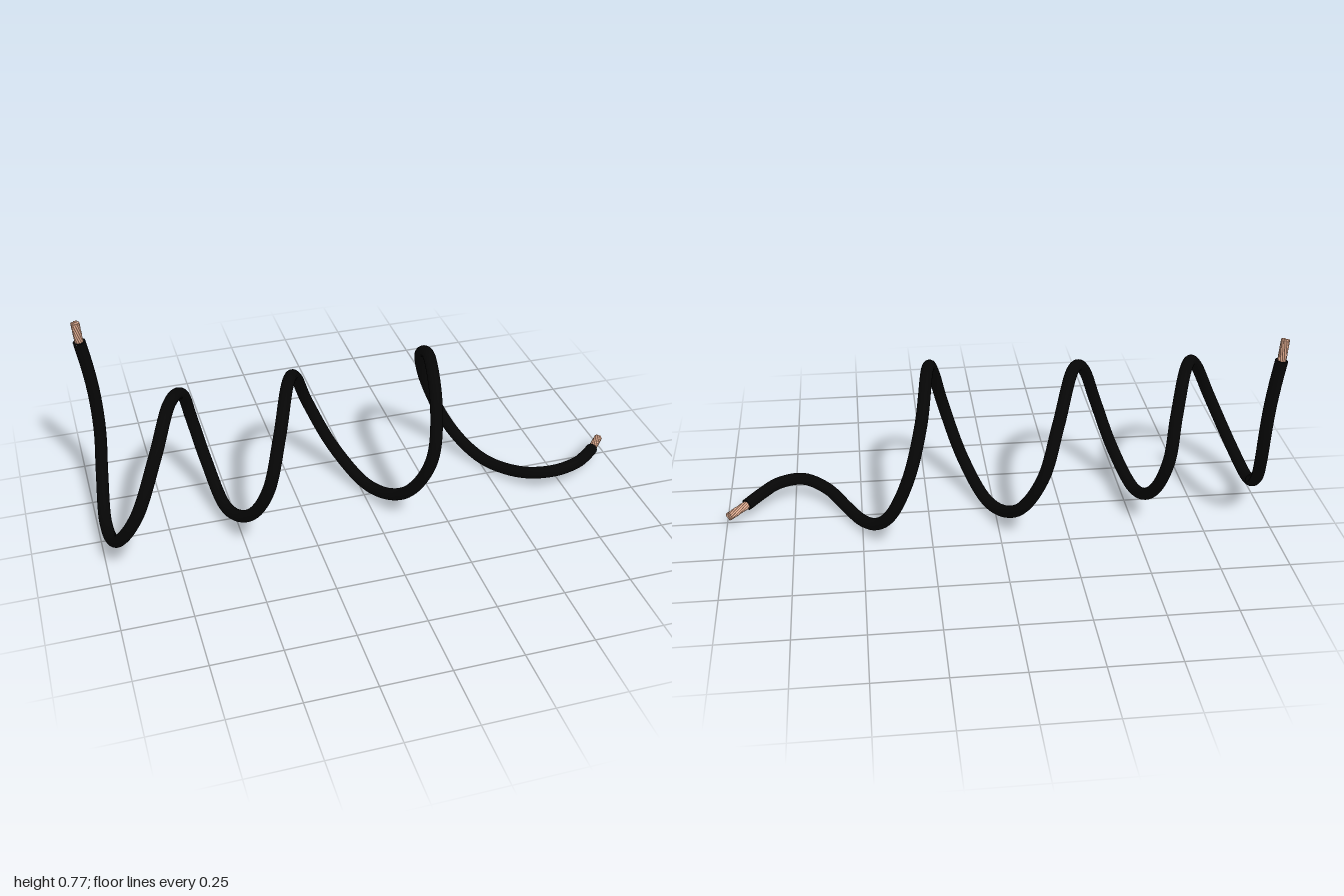
import * as THREE from 'three';

const sheathMat = new THREE.MeshStandardMaterial({ color: 0x060606 });
sheathMat.name = 'black rubber';
const copperMat = new THREE.MeshStandardMaterial({ color: 0xecb598 });
copperMat.name = 'bare copper';

const SHEATH_R = 0.0225;
const UP = new THREE.Vector3(0, 1, 0);

// Centre line of the coiled cable, about eight points per turn
const PATH = [
  // raised end
  [-0.972, 0.692, -0.263], [-0.957, 0.6, -0.266], [-0.945, 0.5, -0.268], [-0.939, 0.4, -0.267],
  // first turn
  [-0.94, 0.295, -0.25], [-0.956, 0.178, -0.175], [-0.975, 0.08, -0.01], [-0.958, 0.118, 0.165],
  [-0.885, 0.285, 0.266], [-0.797, 0.468, 0.2], [-0.712, 0.549, 0.015], [-0.633, 0.452, -0.19],
  // second turn
  [-0.6, 0.31, -0.255], [-0.566, 0.15, -0.185], [-0.534, 0.057, -0.005], [-0.48, 0.142, 0.182],
  [-0.425, 0.3, 0.266], [-0.365, 0.467, 0.2], [-0.288, 0.555, 0.015], [-0.205, 0.445, -0.2],
  // third turn
  [-0.145, 0.28, -0.274], [-0.065, 0.108, -0.2], [0.022, 0.033, -0.01], [0.103, 0.122, 0.187],
  [0.17, 0.315, 0.277], [0.207, 0.48, 0.203], [0.239, 0.583, 0.03], [0.28, 0.465, -0.19],
  // low end
  [0.33, 0.305, -0.264], [0.395, 0.145, -0.24], [0.447, 0.066, -0.172], [0.502, 0.027, -0.075],
  [0.556, 0.03, 0.02], [0.628, 0.057, 0.118], [0.717, 0.08, 0.162], [0.81, 0.08, 0.139],
  [0.87, 0.068, 0.092], [0.927, 0.054, 0.035],
].map((p) => new THREE.Vector3(...p));

// Flat disc closing a cut end of the sheath
function endCap(position, direction) {
  const cap = new THREE.Mesh(new THREE.CircleGeometry(SHEATH_R, 20), sheathMat);
  cap.name = 'sheathEnd';
  cap.position.copy(position);
  cap.quaternion.setFromUnitVectors(new THREE.Vector3(0, 0, 1), direction);
  return cap;
}

// Bundle of twisted copper strands running along +y
function copperBundle(length) {
  const group = new THREE.Group();
  const core = new THREE.Mesh(new THREE.CylinderGeometry(0.0115, 0.0115, length - 0.002, 14), copperMat);
  core.name = 'strandCore';
  core.position.y = length / 2 - 0.001;
  group.add(core);

  const rings = [{ count: 10, radius: 0.0118 }, { count: 5, radius: 0.0055 }];
  for (const { count, radius } of rings) {
    for (let i = 0; i < count; i++) {
      const top = length - 0.0015 * ((i * 5) % 3);
      const points = [];
      for (let k = 0; k <= 6; k++) {
        const t = k / 6;
        const a = (i / count) * Math.PI * 2 + t * 1.5;
        points.push(new THREE.Vector3(Math.cos(a) * radius, t * top, Math.sin(a) * radius));
      }
      const curve = new THREE.CatmullRomCurve3(points);
      const strand = new THREE.Mesh(new THREE.TubeGeometry(curve, 10, 0.0041, 8), copperMat);
      strand.name = 'copperStrand';
      group.add(strand);
      // Cut tip of the strand
      const tip = new THREE.Mesh(new THREE.CircleGeometry(0.0041, 8), copperMat);
      tip.name = 'strandTip';
      tip.rotation.x = -Math.PI / 2;
      tip.position.copy(points[6]);
      group.add(tip);
    }
  }
  return group;
}

export function createModel() {
  const model = new THREE.Group();
  model.name = 'coiledCable';

  // Rubber sheath
  const curve = new THREE.CatmullRomCurve3(PATH, false, 'centripetal');
  const sheath = new THREE.Mesh(new THREE.TubeGeometry(curve, 400, SHEATH_R, 20), sheathMat);
  sheath.name = 'sheath';
  model.add(sheath);

  // Cut ends with bare copper
  const ends = [
    { name: 'upperCopper', from: PATH[0], to: new THREE.Vector3(-0.978, 0.77, -0.262) },
    { name: 'lowerCopper', from: PATH[PATH.length - 1], to: new THREE.Vector3(0.989, 0.05, -0.036) },
  ];
  ends.forEach(({ name, from, to }, i) => {
    const outward = curve.getTangent(i).multiplyScalar(i ? 1 : -1);
    model.add(endCap(from, outward));
    const dir = to.clone().sub(from);
    const bundle = copperBundle(dir.length());
    bundle.name = name;
    bundle.position.copy(from);
    bundle.quaternion.setFromUnitVectors(UP, dir.normalize());
    model.add(bundle);
  });

  return model;
}
